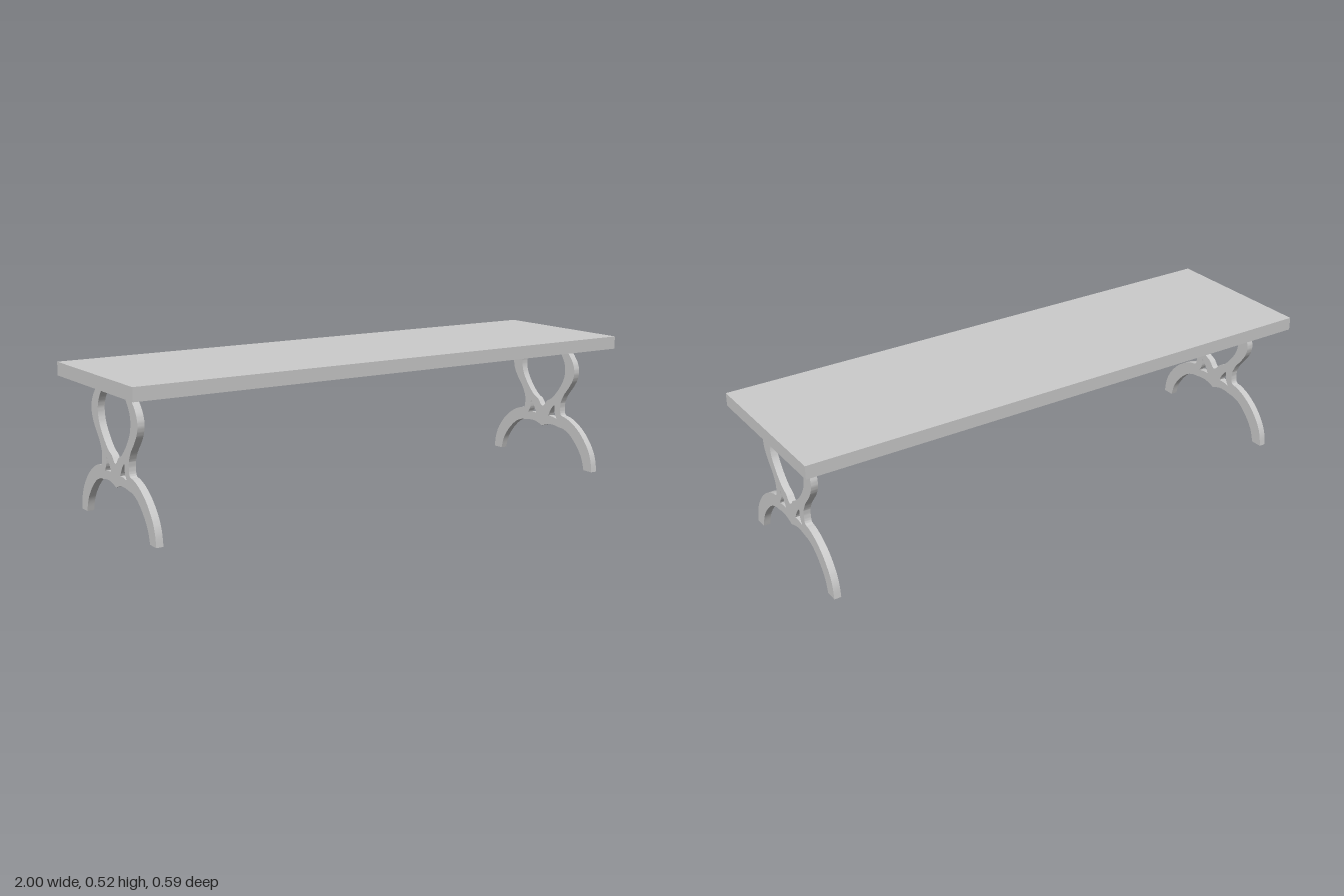
import * as THREE from 'three';
import { toCreasedNormals } from 'three/addons/utils/BufferGeometryUtils.js';

const material = new THREE.MeshStandardMaterial({ color: 0xcccccc });
const TOP_Y = 0.52, TOP_T = 0.047, LEG_T = 0.025, LEG_X = 0.92;

// Smooth run of points through a few control points
const smooth = (pairs) =>
  new THREE.SplineCurve(pairs.map(([x, y]) => new THREE.Vector2(x, y))).getPoints((pairs.length - 1) * 5);

const mirrored = (points) => points.map((p) => new THREE.Vector2(-p.x, p.y)).reverse();

function legGeometry() {
  // Half outline, from the underside of the arch round to the crotch of the lyre
  const archUnder = smooth([[0, 0.135], [0.02, 0.142], [0.046, 0.148], [0.073, 0.148], [0.1, 0.144],
    [0.125, 0.141], [0.16, 0.126], [0.2, 0.091], [0.232, 0.047], [0.247, 0]]);
  const archOver = smooth([[0.291, 0], [0.284, 0.045], [0.265, 0.088], [0.225, 0.136], [0.178, 0.17],
    [0.137, 0.187], [0.115, 0.191], [0.107, 0.199], [0.104, 0.22], [0.106, 0.243]]);
  const lyreOuter = smooth([[0.106, 0.243], [0.122, 0.274], [0.15, 0.308], [0.171, 0.34],
    [0.179, 0.372], [0.172, 0.403], [0.152, 0.432], [0.114, TOP_Y - TOP_T]]);
  const lyreInner = smooth([[0.064, TOP_Y - TOP_T], [0.1, 0.437], [0.121, 0.404], [0.127, 0.372],
    [0.118, 0.333], [0.091, 0.292], [0.055, 0.255], [0.026, 0.239], [0.011, 0.221], [0, 0.215]]);
  const half = [...archUnder, ...archOver, ...lyreOuter.slice(1), ...lyreInner];
  const shape = new THREE.Shape([...half, ...mirrored(half.slice(1, -1))]);

  // Pair of small triangular openings with gently curved sides
  const hole = [
    ...smooth([[0.069, 0.228], [0.054, 0.213], [0.036, 0.183]]),
    ...smooth([[0.036, 0.181], [0.062, 0.18], [0.084, 0.176]]),
    ...smooth([[0.084, 0.177], [0.073, 0.199], [0.071, 0.224]]),
  ];
  shape.holes.push(new THREE.Path(hole), new THREE.Path(mirrored(hole)));

  const geometry = new THREE.ExtrudeGeometry(shape, { depth: LEG_T, bevelEnabled: false });
  geometry.translate(0, 0, -LEG_T / 2).rotateY(Math.PI / 2);
  return toCreasedNormals(geometry, 0.6);
}

export function createModel() {
  const bench = new THREE.Group();
  bench.name = 'bench';

  const top = new THREE.Mesh(new THREE.BoxGeometry(2, TOP_T, 0.594), material);
  top.name = 'tabletop';
  top.position.y = TOP_Y - TOP_T / 2;
  bench.add(top);

  // One flat trestle leg near each end
  const geometry = legGeometry();
  for (const [name, side] of [['leftLeg', 1], ['rightLeg', -1]]) {
    const leg = new THREE.Mesh(geometry, material);
    leg.name = name;
    leg.position.x = side * LEG_X;
    bench.add(leg);
  }
  return bench;
}
